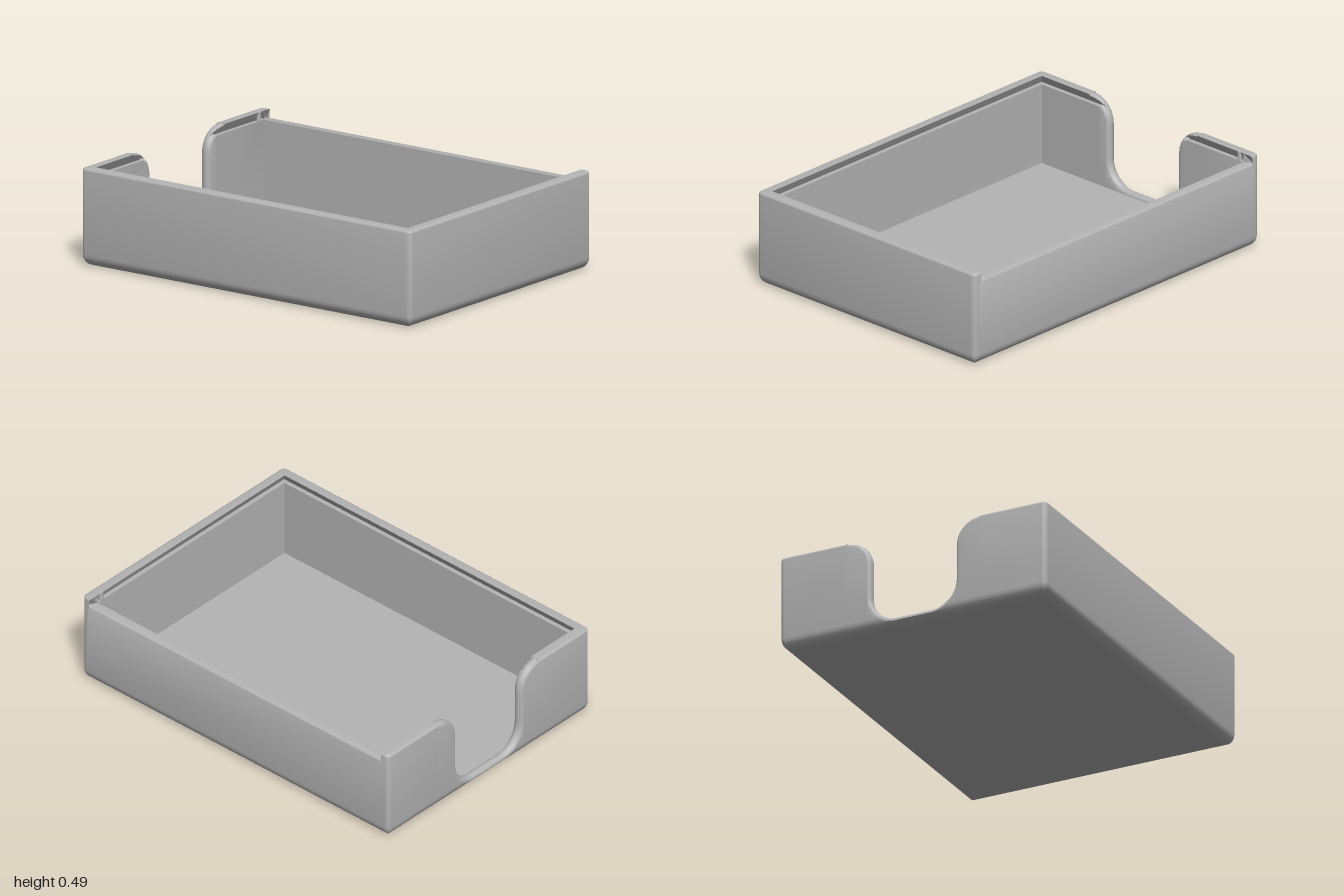
import * as THREE from 'three';
import { toCreasedNormals } from 'three/addons/utils/BufferGeometryUtils.js';

const A = 1, B = 0.725;             // half width, half depth
const TOP = 0.49, LEDGE = 0.445;    // rim height, lid ledge height
const T = 0.053, F = 0.06;          // wall thickness, bottom fillet
const R = 0.025, FLOOR = 0.03;      // corner radius, floor height
const SOFT = 0.02, EDGE = 0.012;    // rounding of the thumb cut and of the rim

// inset of the outer face along the bottom fillet
const fillet = (y) => (y < F ? F - Math.sqrt(F * F - (F - y) ** 2) : 0);
// dovetail lid groove: inset of the lip at height y
const groove = (y) => 0.03 + 0.023 * (y - LEDGE) / (TOP - LEDGE);

// One wall cross-section, from the bottom outside over the rim to the floor inside.
// place(d, y, off) turns an inset, height and rim offset into a point.
function section({ place, top, my = -1, cut = false, hasGroove = true }) {
  const e = cut ? SOFT : EDGE;
  const yE = top + my * e;
  const pts = [];
  const add = (d, y, off) => pts.push(place(d, y, off));
  for (let i = 0; i <= 6; i++) {
    const y = Math.min(F * (1 - Math.cos(i / 6 * Math.PI / 2)), yE);
    add(fillet(y), y, e);
  }
  const dE = fillet(yE);
  for (let i = 0; i <= 10; i++) {
    let d, off;
    if (cut) {
      const a = i / 10 * Math.PI;
      d = dE + (T - dE) * (1 - Math.cos(a)) / 2;
      off = e * (1 - Math.sin(a));
    } else {
      const a = Math.min(i / 4, 1) * Math.PI / 2;
      d = i > 4 ? T : e * (1 - Math.cos(a));
      off = e * (1 - Math.sin(a));
    }
    const y = top + my * off;
    if (hasGroove && y >= LEDGE) d = Math.min(d, groove(y));
    add(d, y, off);
  }
  const gy = Math.min(yE, LEDGE);
  const end = cut ? e : 0;
  const ledgeY = hasGroove ? gy : top;
  add(hasGroove && yE >= LEDGE ? groove(LEDGE) : T, ledgeY, end);
  add(T, ledgeY, end);
  add(T, FLOOR, end);
  add(F, FLOOR, end);
  return pts;
}

// Thumb cut outline as z, y and the direction into the wall
function thumbCut() {
  const half = [];
  const r = 0.13, n = 12;
  for (let i = 0; i <= n; i++) {
    const a = Math.PI / 2 * (1 - i / n);
    half.push([-0.36 + r * Math.cos(a), 0.36 + r * Math.sin(a), -Math.cos(a), -Math.sin(a)]);
  }
  for (let i = 0; i <= n; i++) {
    const a = Math.PI * (1 + i / n / 2);
    half.push([-0.10 + r * Math.cos(a), 0.18 + r * Math.sin(a), Math.cos(a), Math.sin(a)]);
  }
  const mirrored = half.map(([z, y, mz, my]) => [-z, y, -mz, my]).reverse();
  return [...half, ...mirrored];
}

function wallGeometry() {
  const cols = [];
  const corner = (k) => {
    const sx = [-1, 1, 1, -1][k], sz = [1, 1, -1, -1][k];
    for (let i = 0; i <= 5; i++) {
      const a = Math.PI - (k + i / 5) * Math.PI / 2;
      cols.push(section({
        top: TOP,
        place: (d, y) => {
          const rd = Math.max(R - d, 0);
          return [sx * (A - d - rd) + rd * Math.cos(a), y, sz * (B - d - rd) + rd * Math.sin(a)];
        },
      }));
    }
  };
  // back wall columns beside the lid opening
  const back = (sx, top) => cols.push(section({
    top, hasGroove: top === TOP,
    place: (d, y) => {
      const x = A - groove(Math.max(y, LEDGE));
      return [sx * Math.min(x, A - d), y, -(B - d)];
    },
  }));
  const side = (z) => cols.push(section({ top: TOP, place: (d, y) => [-(A - d), y, z] }));

  corner(0);
  corner(1);
  corner(2);
  back(1, TOP);
  back(1, LEDGE);
  back(-1, LEDGE);
  back(-1, TOP);
  corner(3);
  side(-0.36);
  for (const [z, y0, mz, my] of thumbCut()) {
    cols.push(section({
      top: y0, my, cut: true,
      place: (d, y, off) => [-(A - d), y, z + mz * off],
    }));
  }
  side(0.36);

  // join neighbouring columns around the box
  const n = cols[0].length, index = [];
  for (let c = 0; c < cols.length; c++) {
    const a = c * n, b = ((c + 1) % cols.length) * n;
    for (let i = 0; i < n - 1; i++) {
      index.push(a + i, b + i, b + i + 1, a + i, b + i + 1, a + i + 1);
    }
  }
  const g = new THREE.BufferGeometry();
  g.setAttribute('position', new THREE.Float32BufferAttribute(cols.flat(2), 3));
  g.setIndex(index);
  return toCreasedNormals(g, 0.6);
}

export function createModel() {
  const group = new THREE.Group();
  group.name = 'slidingLidBox';
  const grey = new THREE.MeshStandardMaterial({ color: 0xb4b4b4 });
  grey.name = 'grey plastic';
  grey.side = THREE.DoubleSide;

  const add = (name, geometry, x = 0, y = 0, z = 0) => {
    const mesh = new THREE.Mesh(geometry, grey);
    mesh.name = name;
    mesh.position.set(x, y, z);
    group.add(mesh);
  };

  add('walls', wallGeometry());
  add('floor', new THREE.BoxGeometry(2 * (A - F), FLOOR, 2 * (B - F)), 0, FLOOR / 2, 0);

  // small bumps in the groove that hold the lid shut
  for (const s of [-1, 1]) {
    add('lidCatch', new THREE.CylinderGeometry(0.012, 0.012, TOP - LEDGE, 16),
      s * 0.955, (TOP + LEDGE) / 2, -0.64);
  }
  return group;
}
